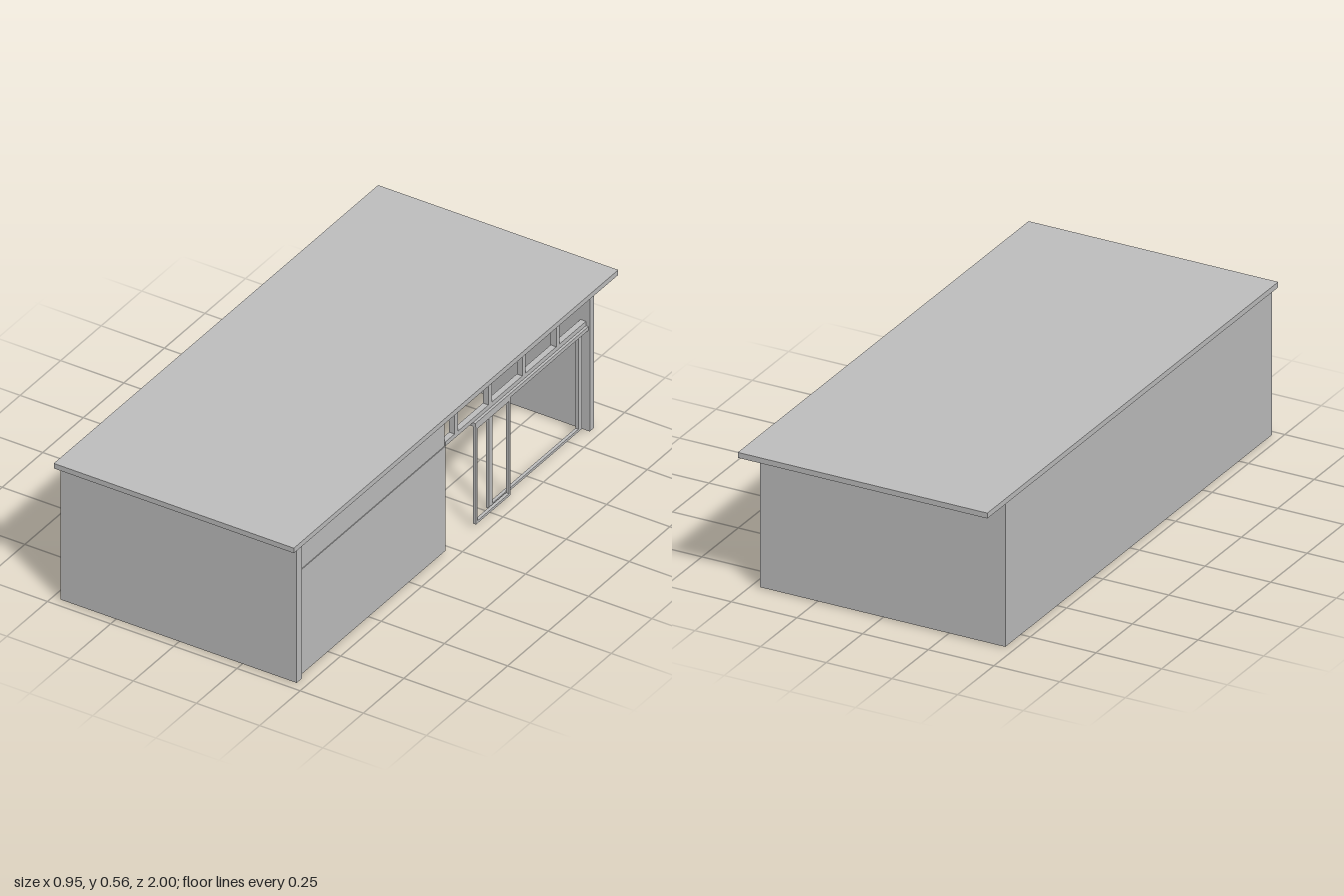
import * as THREE from 'three';

const grey = new THREE.MeshStandardMaterial({ color: 0xbfbfbf });
grey.name = 'plain grey';

// Box given by its lower and upper limits on each axis
function block(parent, name, [x0, x1], [y0, y1], [z0, z1]) {
  const mesh = new THREE.Mesh(new THREE.BoxGeometry(x1 - x0, y1 - y0, z1 - z0), grey);
  mesh.position.set((x0 + x1) / 2, (y0 + y1) / 2, (z0 + z1) / 2);
  mesh.name = name;
  parent.add(mesh);
  return mesh;
}

function group(parent, name) {
  const g = new THREE.Group();
  g.name = name;
  parent.add(g);
  return g;
}

// Rectangular door leaf: two stiles and two rails
function doorLeaf(parent, name, x, y, z, w) {
  const leaf = group(parent, name);
  block(leaf, 'stile', x, y, [z[1] - w, z[1]]);
  block(leaf, 'stile', x, y, [z[0], z[0] + w]);
  block(leaf, 'topRail', x, [y[1] - 0.012, y[1]], [z[0] + w, z[1] - w]);
  block(leaf, 'bottomRail', x, [y[0], y[0] + 0.01], [z[0] + w, z[1] - w]);
}

export function createModel() {
  const model = new THREE.Group();
  model.name = 'house';
  const base = 0.003, eaves = 0.54;

  // Roof and shell, open underneath
  block(model, 'roof', [-0.475, 0.475], [eaves, 0.56], [-1, 1]);
  block(model, 'frontWall', [-0.467, 0.467], [base, eaves], [0.937, 0.97]);
  block(model, 'backWall', [-0.467, 0.467], [base, eaves], [-0.862, -0.837]);
  block(model, 'longWall', [-0.467, -0.44], [base, eaves], [-0.837, 0.937]);
  block(model, 'sidePanel', [0.425, 0.452], [base, 0.42], [0.03, 0.937]);
  block(model, 'upperSidePanel', [0.425, 0.449], [0.42, 0.525], [0.03, 0.937]);
  block(model, 'eavesBeam', [0.425, 0.452], [0.525, eaves], [-0.837, 0.937]);
  block(model, 'beamEnd', [0.435, 0.452], [0.527, eaves], [-0.88, -0.862]);

  // Clerestory window band above the opening
  const band = group(model, 'clerestory');
  const bandX = [0.43, 0.452];
  block(band, 'sill', bandX, [0.42, 0.437], [-0.837, 0.03]);
  block(band, 'head', bandX, [0.515, 0.525], [-0.837, 0.03]);
  for (let i = 0; i < 4; i++) {
    const z = -0.037 - i * 0.209;
    block(band, 'mullion', bandX, [0.437, 0.515], [z - 0.01, z + 0.01]);
  }

  // Sliding doors on two tracks
  block(model, 'doorTrack', [0.43, 0.462], [0.405, 0.42], [-0.837, -0.14]);
  doorLeaf(model, 'openDoor', [0.45, 0.462], [0.015, 0.405], [-0.357, -0.143], 0.01);
  doorLeaf(model, 'fixedDoor', [0.434, 0.446], [0.015, 0.405], [-0.822, -0.248], 0.022);

  // Bench table with panel legs and a small tap
  const table = group(model, 'table');
  block(table, 'tableTop', [-0.44, -0.345], [0.082, 0.108], [-0.67, -0.375]);
  block(table, 'leg', [-0.437, -0.35], [0, 0.082], [-0.39, -0.382]);
  block(table, 'leg', [-0.437, -0.35], [0, 0.082], [-0.663, -0.655]);
  block(table, 'tapPost', [-0.42, -0.413], [0.108, 0.14], [-0.443, -0.436]);
  block(table, 'tapSpout', [-0.413, -0.39], [0.128, 0.134], [-0.443, -0.436]);
  block(table, 'tapBase', [-0.425, -0.408], [0.108, 0.118], [-0.452, -0.425]);

  // Round floor cushion
  const cushion = new THREE.Mesh(new THREE.CylinderGeometry(0.043, 0.043, 0.022, 24), grey);
  cushion.position.set(-0.34, 0.024, -0.215);
  cushion.name = 'floorCushion';
  model.add(cushion);

  // Bed with headboard and pillows
  const bed = group(model, 'bed');
  block(bed, 'mattress', [-0.38, -0.06], [0.02, 0.075], [0.66, 0.925]);
  block(bed, 'headboard', [-0.41, -0.38], [base, 0.11], [0.65, 0.935]);
  for (const z of [0.725, 0.86]) {
    const pillow = new THREE.Mesh(new THREE.SphereGeometry(1, 20, 12), grey);
    pillow.scale.set(0.038, 0.016, 0.055);
    pillow.position.set(-0.335, 0.085, z);
    pillow.name = 'pillow';
    bed.add(pillow);
  }
  return model;
}
